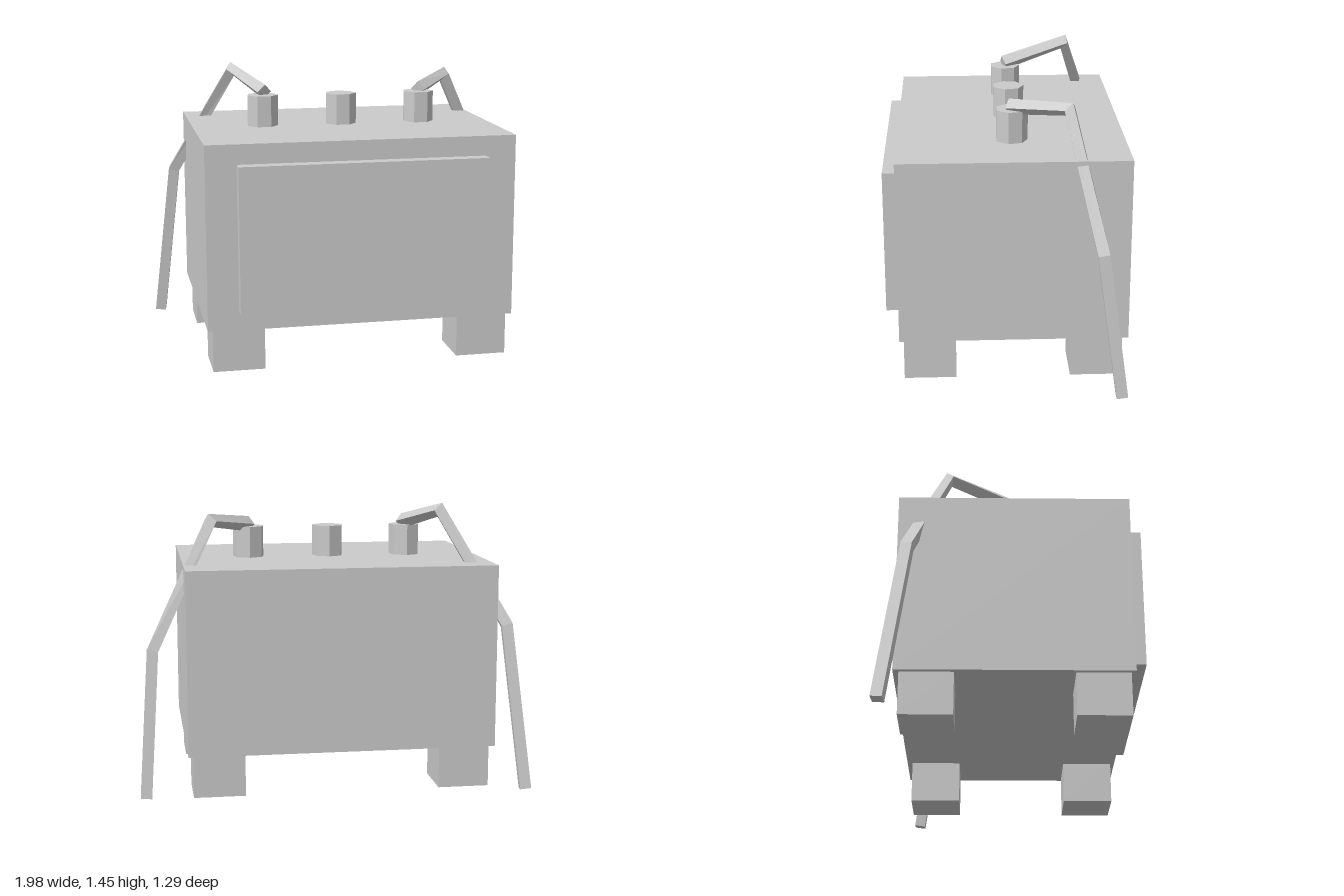
import * as THREE from 'three';

const material = new THREE.MeshStandardMaterial({ color: 0xcccccc, flatShading: true, side: THREE.DoubleSide });

// Polyline with averaged tangents, so that a tube along it gets mitred corners
class BentPath extends THREE.Curve {
  constructor(points) {
    super();
    this.points = points.map((p) => new THREE.Vector3(...p));
  }
  getPointAt(u, target = new THREE.Vector3()) {
    return target.copy(this.points[Math.round(u * (this.points.length - 1))]);
  }
  getTangentAt(u, target = new THREE.Vector3()) {
    const p = this.points, last = p.length - 1, i = Math.round(u * last);
    target.set(0, 0, 0);
    if (i > 0) target.add(p[i].clone().sub(p[i - 1]).normalize());
    if (i < last) target.add(p[i + 1].clone().sub(p[i]).normalize());
    return target.normalize();
  }
}

// Four-sided tube with closed ends
function armGeometry(points) {
  const segments = points.length - 1;
  const geometry = new THREE.TubeGeometry(new BentPath(points), segments, 0.04, 4, false);
  const e = segments * 5;
  geometry.setIndex([...geometry.index.array, 0, 1, 2, 0, 2, 3, e, e + 2, e + 1, e, e + 3, e + 2]);
  return geometry;
}

export function createModel() {
  const model = new THREE.Group();
  const add = (name, geometry, x = 0, y = 0, z = 0) => {
    const mesh = new THREE.Mesh(geometry, material);
    mesh.name = name;
    mesh.position.set(x, y, z);
    model.add(mesh);
  };

  // Box body with a raised front panel
  add('body', new THREE.BoxGeometry(1.56, 0.93, 1.14), -0.03, 0.685, 0.013);
  add('frontPanel', new THREE.BoxGeometry(1.25, 0.73, 0.09), -0.03, 0.685, 0.605);

  // Four block feet
  for (const [side, x] of [['Right', -0.655], ['Left', 0.595]]) {
    for (const [end, z] of [['front', 0.432], ['back', -0.4]]) {
      add(`${end}${side}Foot`, new THREE.BoxGeometry(0.26, 0.23, 0.26), x, 0.12, z);
    }
  }

  // Seven-sided knobs on top
  [['rightKnob', -0.445], ['middleKnob', -0.03], ['leftKnob', 0.39]].forEach(([name, x]) => {
    add(name, new THREE.CylinderGeometry(0.082, 0.082, 0.18, 7, 1, false, Math.PI), x, 1.22, 0.012);
  });

  // Bent arms from the outer knobs down to the ground
  add('rightArm', armGeometry([
    [-0.435, 1.325, 0.02], [-0.56, 1.41, -0.32], [-0.872, 0.84, -0.505], [-0.96, 0.007, -0.608],
  ]));
  add('leftArm', armGeometry([
    [0.39, 1.32, 0.02], [0.605, 1.365, -0.26], [0.912, 0.735, -0.405], [0.96, 0.007, -0.505],
  ]));

  return model;
}
